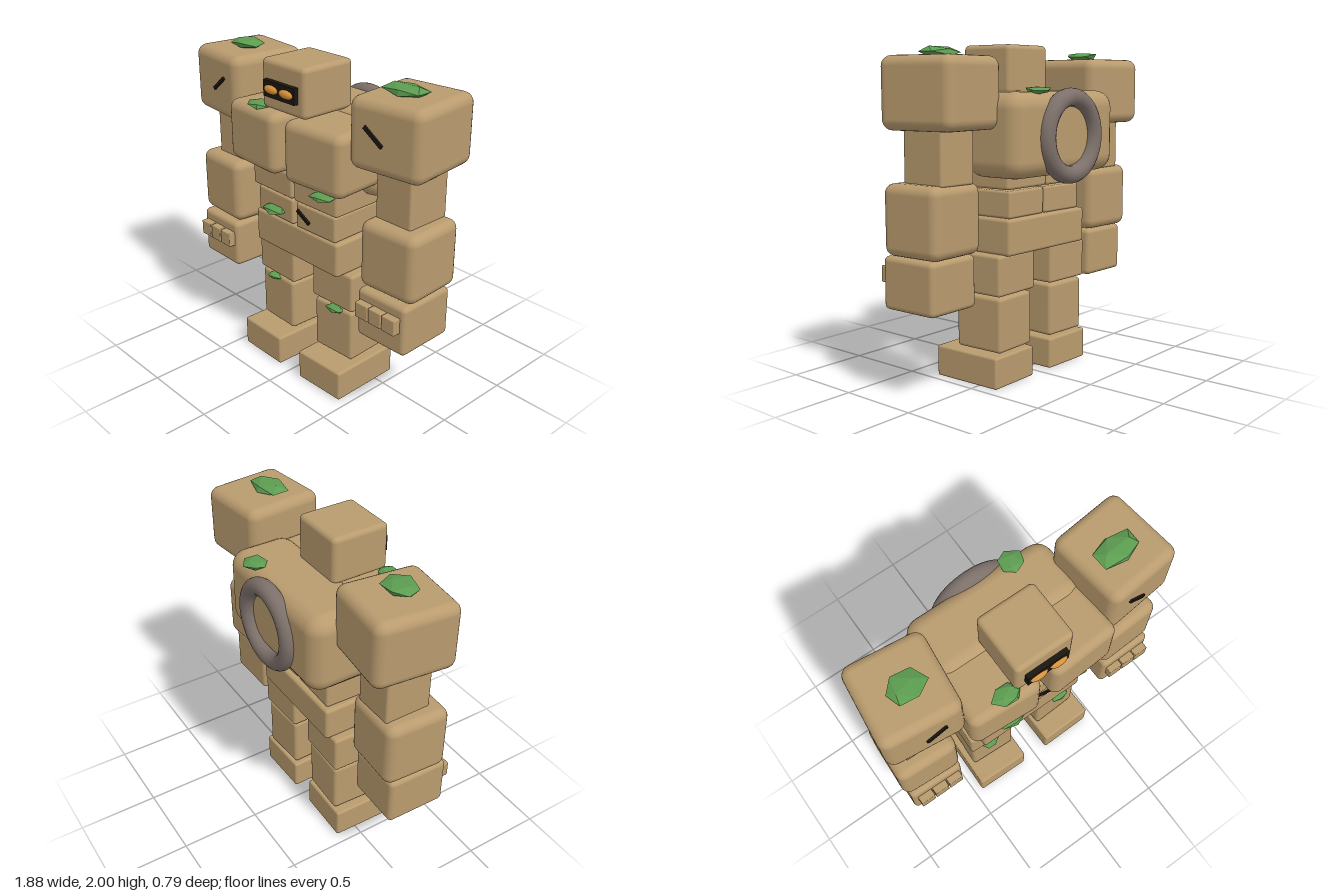
import * as THREE from 'three';
import { RoundedBoxGeometry } from 'three/addons/geometries/RoundedBoxGeometry.js';

function material(name, color) {
  const m = new THREE.MeshStandardMaterial({ color });
  m.name = name;
  return m;
}

export function createModel() {
  const root = new THREE.Group();
  root.name = 'stoneGolem';

  const stone = material('sandstone', 0xb99b6e);
  const dark = material('darkRecess', 0x1c1610);
  const amber = material('amberEye', 0xd9913a);
  const ringGrey = material('ringStone', 0x7d706a);
  const moss = material('moss', 0x5c9c50);
  moss.flatShading = true;

  function add(parent, name, geometry, mat, pos, rotY = 0, rotZ = 0) {
    const mesh = new THREE.Mesh(geometry, mat);
    mesh.name = name;
    mesh.position.set(...pos);
    mesh.rotation.set(0, rotY, rotZ);
    parent.add(mesh);
    return mesh;
  }

  const block = (parent, name, size, pos, radius, rotY = 0) =>
    add(parent, name, new RoundedBoxGeometry(...size, 3, radius), stone, pos, rotY);

  // Torso
  block(root, 'upperBack', [0.96, 0.49, 0.42], [0, 1.485, -0.13], 0.1);
  block(root, 'pelvis', [0.725, 0.215, 0.45], [0, 0.893, 0.045], 0.02);

  // Head with a dark visor and two glowing eyes
  const head = new THREE.Group();
  head.name = 'head';
  root.add(head);
  block(head, 'skull', [0.365, 0.29, 0.365], [-0.003, 1.855, 0.157], 0.03);
  add(head, 'visor', new THREE.BoxGeometry(0.262, 0.095, 0.035), dark, [-0.003, 1.842, 0.352]);
  for (const side of [-1, 1]) {
    const eye = add(head, 'eye', new THREE.SphereGeometry(1, 20, 12), amber, [side * 0.063 - 0.003, 1.842, 0.368]);
    eye.scale.set(0.056, 0.026, 0.024);
  }

  // Mirrored blocks: [name, size, position on the left side, corner radius, outward turn]
  const pairs = [
    ['chestPlate', [0.445, 0.37, 0.4], [0.25, 1.515, 0.18], 0.055, 0.06],
    ['upperAbdomen', [0.36, 0.16, 0.45], [0.184, 1.25, 0.057], 0.018, 0.015],
    ['lowerAbdomen', [0.325, 0.16, 0.42], [0.172, 1.08, 0.058], 0.015, 0.025],
    ['shoulder', [0.475, 0.405, 0.5], [0.683, 1.722, 0.035], 0.06, 0.11],
    ['upperArm', [0.257, 0.31, 0.292], [0.704, 1.375, 0.037], 0.015, 0],
    ['forearm', [0.39, 0.405, 0.4], [0.727, 1.028, 0.07], 0.055, 0.05],
    ['hand', [0.357, 0.305, 0.382], [0.727, 0.668, 0.097], 0.03, 0.02],
    ['thigh', [0.335, 0.24, 0.35], [0.249, 0.67, 0.033], 0.018, 0.025],
    ['shin', [0.305, 0.33, 0.33], [0.251, 0.373, 0.035], 0.022, 0.045],
    ['foot', [0.355, 0.19, 0.467], [0.264, 0.097, 0.098], 0.014, 0.02],
  ];
  for (const side of [-1, 1]) {
    const half = new THREE.Group();
    half.name = side > 0 ? 'leftSide' : 'rightSide';
    root.add(half);
    for (const [name, size, [x, y, z], radius, turn] of pairs) {
      block(half, name, size, [side * x, y, z], radius, side * turn);
    }
    // Row of knuckles on the front of the fist
    for (const offset of [-0.102, 0, 0.102]) {
      block(half, 'knuckle', [0.095, 0.095, 0.07], [side * 0.727 + offset, 0.708, 0.298], 0.006);
    }
    // Crack across the front of the shoulder
    add(half, 'shoulderCrack', new THREE.BoxGeometry(0.145, 0.02, 0.03), dark,
      [side * 0.652, 1.737, 0.288], side * 0.11, -side * 0.65);
  }
  add(root, 'bellyCrack', new THREE.BoxGeometry(0.115, 0.02, 0.03), dark, [0.083, 1.086, 0.268], 0, -0.52);

  // Stone ring on the back
  add(root, 'backRing', new THREE.TorusGeometry(0.225, 0.054, 16, 40), ringGrey, [0, 1.47, -0.341]);

  // Flattened moss clumps: [centre, half sizes, turn]
  const clumps = [
    [[-0.67, 1.944, 0.06], [0.118, 0.032, 0.095], 0.3],
    [[0.665, 1.944, 0.065], [0.14, 0.032, 0.095], 0.1],
    [[-0.235, 1.712, 0.32], [0.092, 0.024, 0.068], 0.5],
    [[0.225, 1.735, -0.28], [0.08, 0.024, 0.075], 0.9],
    [[0.288, 1.29, 0.31], [0.085, 0.02, 0.06], 0.2],
    [[-0.17, 1.055, 0.275], [0.105, 0.026, 0.065], 0.1],
    [[-0.285, 0.525, 0.2], [0.058, 0.02, 0.045], 0.4],
    [[0.28, 0.525, 0.2], [0.066, 0.02, 0.045], 0],
  ];
  clumps.forEach(([pos, [sx, sy, sz], turn], i) => {
    const geometry = new THREE.IcosahedronGeometry(1, 0);
    const p = geometry.attributes.position;
    // Uneven outline; shared corners move together
    for (let v = 0; v < p.count; v++) {
      const x = p.getX(v), y = p.getY(v), z = p.getZ(v);
      const k = 1 + 0.12 * Math.sin(5 * x + 3 * y + 7 * z + i * 2.1);
      p.setXYZ(v, x * k, y * k, z * k);
    }
    geometry.rotateY(turn);
    geometry.scale(sx, sy, sz);
    geometry.computeVertexNormals();
    add(root, 'mossClump', geometry, moss, pos);
  });

  return root;
}
